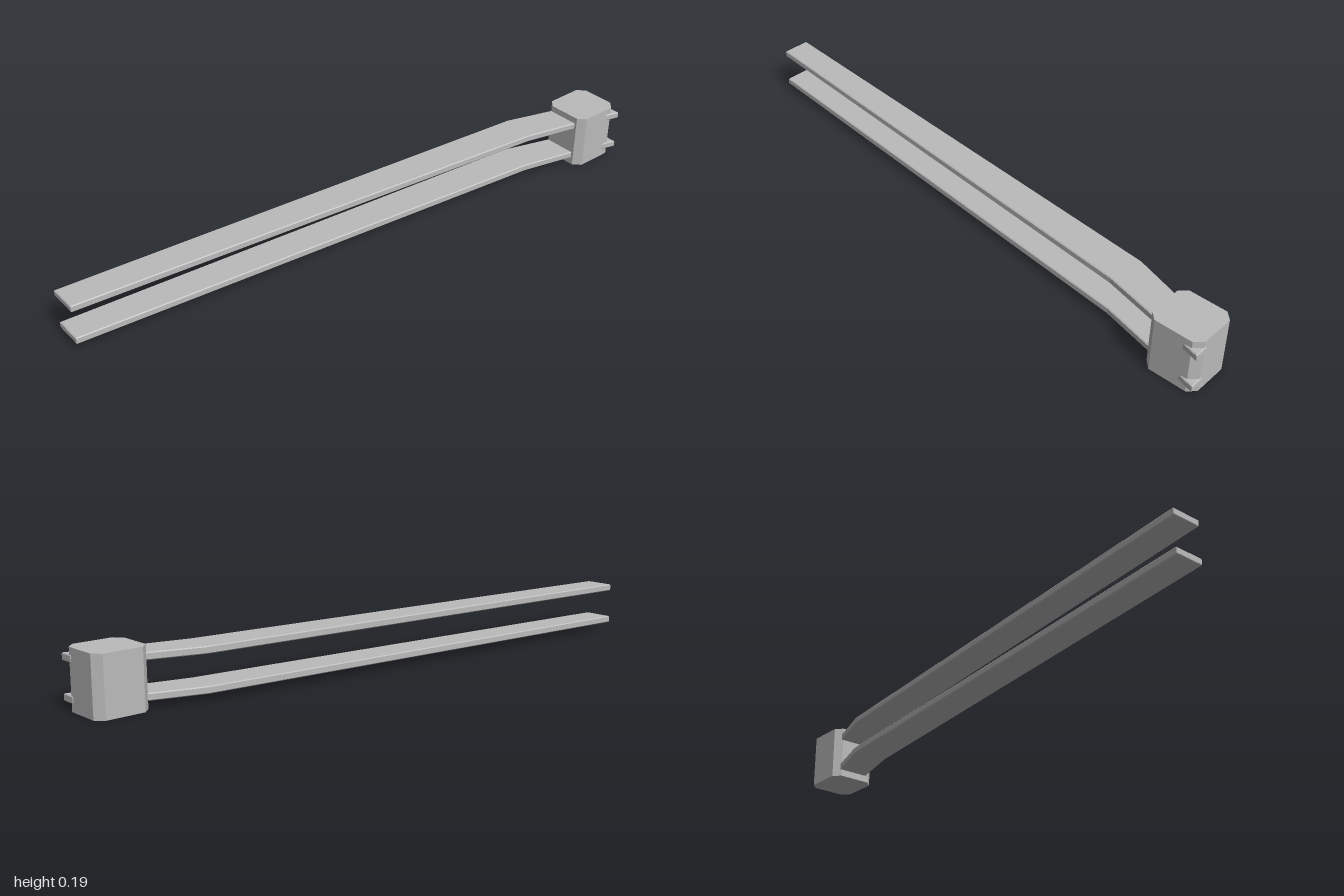
import * as THREE from 'three';

// Extrudes a plan outline of [x, z] points upwards from y0 to y1.
function prism(outline, y0, y1, bevel) {
  const shape = new THREE.Shape(outline.map(([x, z]) => new THREE.Vector2(x, -z)));
  const geometry = new THREE.ExtrudeGeometry(shape, {
    depth: y1 - y0 - 2 * bevel,
    bevelEnabled: bevel > 0,
    bevelThickness: bevel,
    bevelSize: bevel,
    bevelOffset: -bevel,
    bevelSegments: 1,
  });
  geometry.rotateX(-Math.PI / 2);
  geometry.translate(0, y0 + bevel, 0);
  return geometry;
}

export function createModel() {
  const model = new THREE.Group();
  const grey = new THREE.MeshStandardMaterial({ color: 0xbbbbbb });
  grey.name = 'plain grey';

  const add = (name, geometry) => {
    const mesh = new THREE.Mesh(geometry, grey);
    mesh.name = name;
    model.add(mesh);
  };

  // Block with chamfered upright corners
  const [x0, x1, z0, z1, c] = [0.825, 0.998, 0.005, 0.168, 0.024];
  add('endBlock', prism([
    [x0 + c, z1], [x1 - c, z1], [x1, z1 - c], [x1, z0 + c],
    [x1 - c, z0], [x0 + c, z0], [x0, z0 + c], [x0, z1 - c],
  ], 0, 0.186, 0));

  // Two bent flat bars that pass through the block, tips showing at its front corner
  const barOutline = [
    [-1, -0.085], [0.64, 0.092], [0.825, 0.136], [1, 0.182],
    [1, 0.135], [0.825, 0.022], [0.66, -0.028], [-1, -0.182],
  ];
  add('lowerBar', prism(barOutline, 0.024, 0.047, 0.003));
  add('upperBar', prism(barOutline, 0.141, 0.164, 0.003));

  return model;
}
